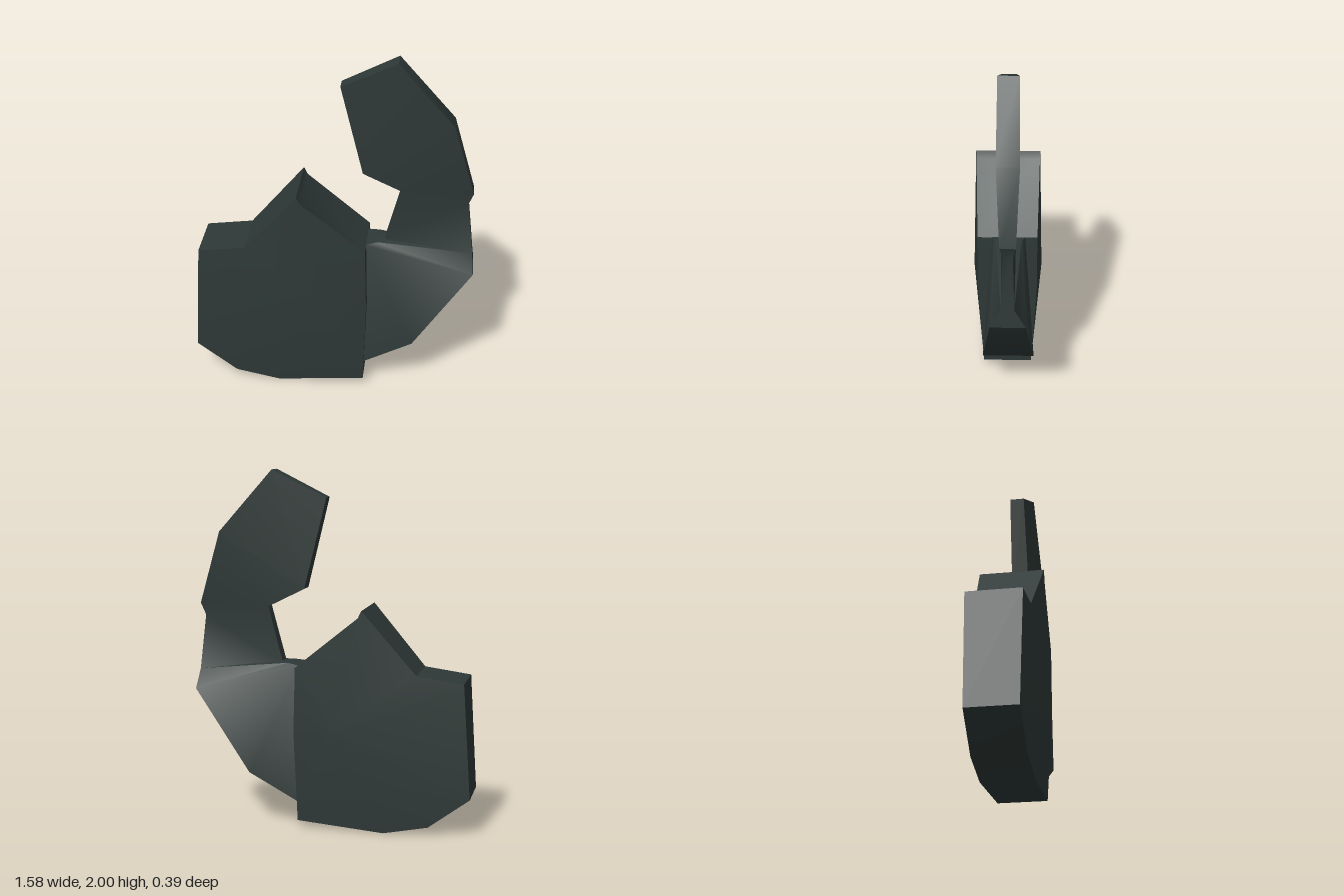
import * as THREE from 'three';
import { toCreasedNormals } from 'three/addons/utils/BufferGeometryUtils.js';

const shellMaterial = new THREE.MeshStandardMaterial({ color: 0x2e3937 });
shellMaterial.name = 'dark slate green';

// Solid from counter-clockwise front triangles and an outline.
// Each point is [x, y, half thickness]; zc is the middle plane.
function plateSolid(name, triangles, outline, zc) {
  const position = [];
  const front = ([x, y, h]) => [x, y, zc + h];
  const back = ([x, y, h]) => [x, y, zc - h];
  const same = (a, b) => a[0] === b[0] && a[1] === b[1];
  for (const [a, b, c] of triangles) {
    if (same(a, b) || same(b, c) || same(c, a)) continue;
    position.push(...front(a), ...front(b), ...front(c));
    position.push(...back(a), ...back(c), ...back(b));
  }
  outline.forEach((a, i) => {
    const b = outline[(i + 1) % outline.length];
    if (same(a, b)) return;
    position.push(...front(a), ...back(a), ...back(b));
    position.push(...front(a), ...back(b), ...front(b));
  });
  const geometry = new THREE.BufferGeometry();
  geometry.setAttribute('position', new THREE.Float32BufferAttribute(position, 3));
  const mesh = new THREE.Mesh(toCreasedNormals(geometry, Math.PI / 5), shellMaterial);
  mesh.name = name;
  return mesh;
}

export function createModel() {
  const group = new THREE.Group();
  group.name = 'claw';

  // Broad palm, bulging gently towards its hub
  const hub = [-0.05, 0.57, 0.194];
  const palm = [
    [-0.79, 0.22, 0.14], [-0.56, 0.05, 0.143], [-0.31, 0, 0.143],
    [0.182, 0.04, 0.137], [0.197, 0.55, 0.165], [0.187, 0.92, 0.165],
    [-0.17, 1.21, 0.178], [-0.19, 1.25, 0.18], [-0.49, 0.9, 0.151], [-0.75, 0.865, 0.15],
  ];
  const fan = palm.map((p, i) => [hub, p, palm[(i + 1) % palm.length]]);
  group.add(plateSolid('palm', fan, palm, -0.003));

  // Curved finger: pairs of inner and outer edge points from root to tip
  const sections = [
    [[0.182, 0.92, 0.09], [0.182, 0.15, 0.13]],
    [[0.182, 0.92, 0.09], [0.46, 0.305, 0.142]],
    [[0.25, 0.93, 0.07], [0.785, 0.765, 0.095]],
    [[0.29, 0.935, 0.04], [0.775, 0.87, 0.035]],
    [[0.37, 1.24, 0.034], [0.74, 1.18, 0.026]],
    [[0.37, 1.24, 0.034], [0.765, 1.25, 0.042]],
    [[0.16, 1.345, 0.048], [0.645, 1.655, 0.06]],
    [[0.035, 1.85, 0.04], [0.34, 2.0, 0.056]],
  ];
  const strip = [];
  for (let i = 0; i < sections.length - 1; i++) {
    const [a, b] = sections[i];
    const [d, c] = sections[i + 1];
    strip.push([a, b, c], [a, c, d]);
  }
  const outer = sections.map((s) => s[1]);
  const inner = sections.map((s) => s[0]).reverse();
  group.add(plateSolid('finger', strip, [...outer, ...inner], -0.01));

  return group;
}
